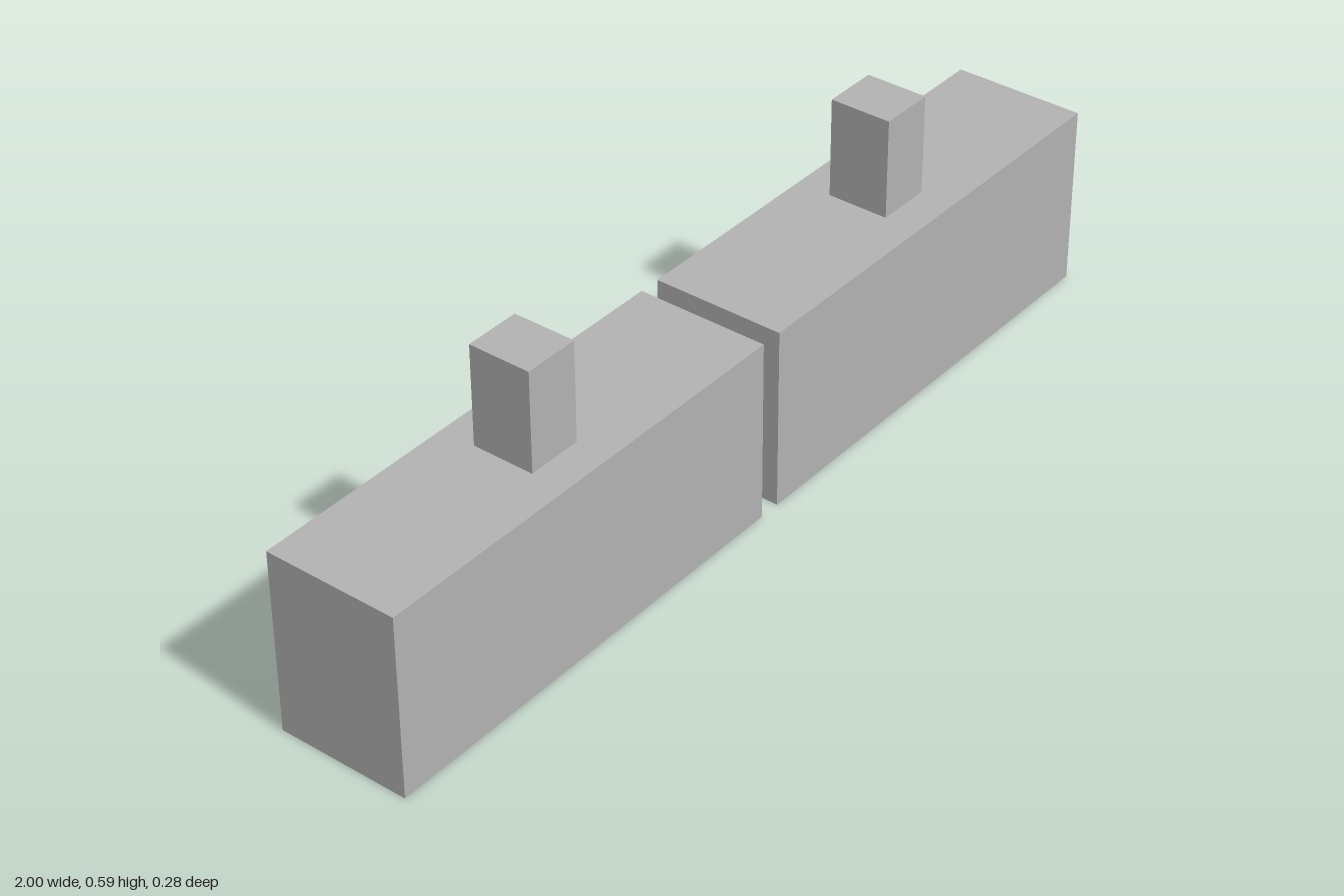
import * as THREE from 'three';

export function createModel() {
  const model = new THREE.Group();
  const grey = new THREE.MeshStandardMaterial({ color: 0xb2b2b2 });
  grey.name = 'light grey';

  const blockHeight = 0.385;
  const pegHeight = 0.21;

  // A box standing on height y, centred on the group's own axis
  const box = (name, width, height, depth, y) => {
    const mesh = new THREE.Mesh(new THREE.BoxGeometry(width, height, depth), grey);
    mesh.name = name;
    mesh.position.y = y + height / 2;
    return mesh;
  };

  // Two matching blocks, each with an upright peg, separated by a narrow gap
  for (const side of [-1, 1]) {
    const unit = new THREE.Group();
    unit.name = side > 0 ? 'leftUnit' : 'rightUnit';
    unit.position.x = side * 0.5115;
    unit.add(box('block', 0.977, blockHeight, 0.28, 0));
    unit.add(box('peg', 0.117, pegHeight, 0.131, blockHeight));
    model.add(unit);
  }
  return model;
}
